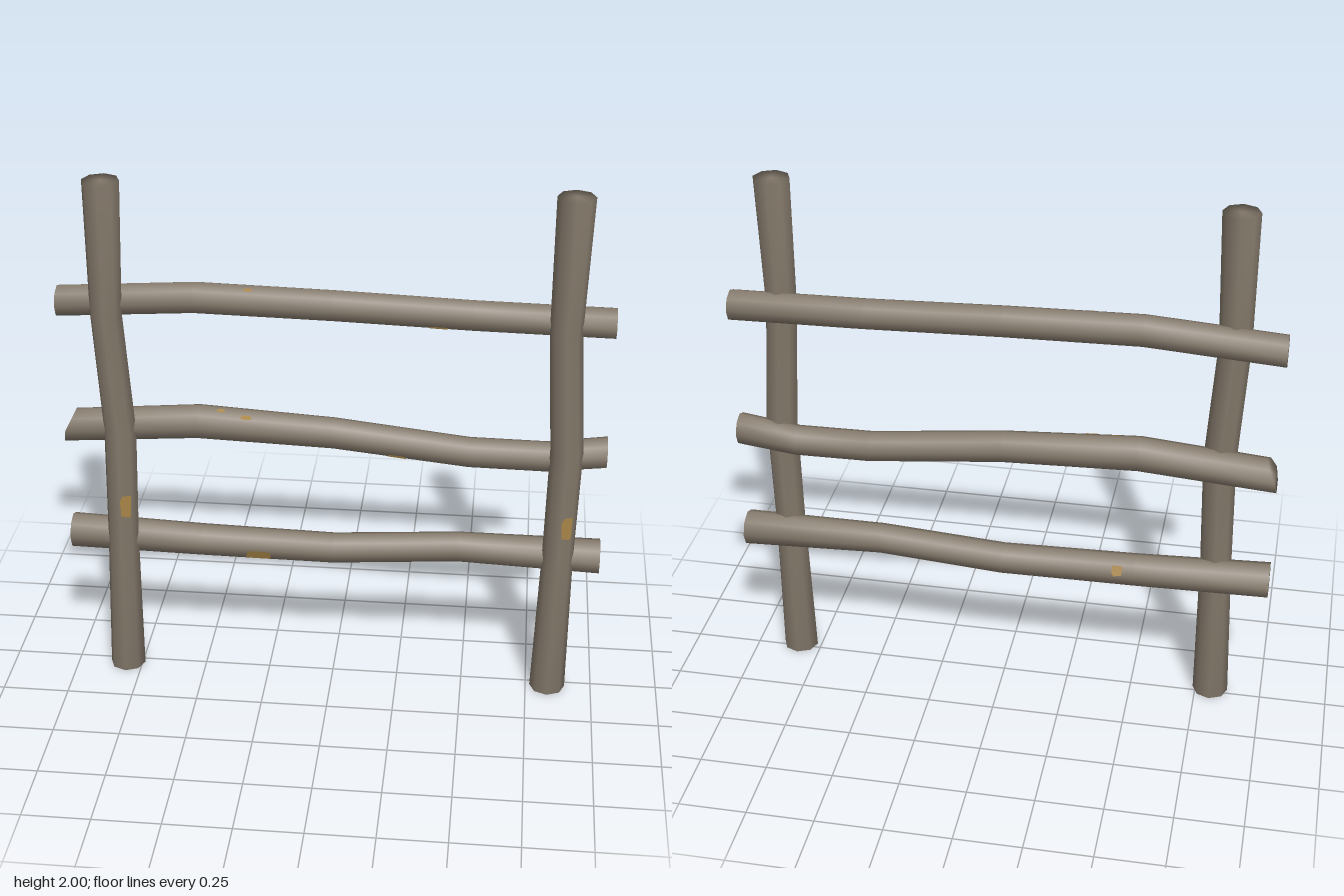
import * as THREE from 'three';

const SIDES = 8;
const bark = new THREE.MeshStandardMaterial({ color: 0x83786a });
bark.name = 'bark';
const bareWood = new THREE.MeshStandardMaterial({ color: 0xa88548 });
bareWood.name = 'bareWood';

// A log runs along y (post) or x (rail). Stations: [along, offset, radius].
function ringPoint(log, [along, offset, r], side, lift = 0) {
  const a = (side / SIDES) * Math.PI * 2;
  const c = Math.cos(a) * (r + lift), s = Math.sin(a) * (r + lift);
  if (log.post) return new THREE.Vector3(offset + c, along, log.z + s);
  const p = new THREE.Vector3(along, offset + s, log.z + c);
  // chopped upper corner at the start of a rail
  if (log.chopped && along === log.stations[0][0]) p.x += Math.max(0, p.y - 1.0) * 0.5;
  return p;
}

function buildGeometry(points, index) {
  const g = new THREE.BufferGeometry().setFromPoints(points);
  g.setIndex(index);
  g.computeVertexNormals();
  return g;
}

// Bent log: rings shared with the end caps, so the ends shade softly
function makeLog(log) {
  const points = [], index = [], n = log.stations.length;
  for (const st of log.stations)
    for (let k = 0; k < SIDES; k++) points.push(ringPoint(log, st, k));
  const first = points.length, last = first + 1;
  for (const st of [log.stations[0], log.stations[n - 1]]) {
    const a = ringPoint(log, st, 0), b = ringPoint(log, st, SIDES / 2);
    points.push(a.add(b).multiplyScalar(0.5));
  }
  for (let k = 0; k < SIDES; k++) {
    const j = (k + 1) % SIDES, top = (n - 1) * SIDES;
    for (let i = 0; i < n - 1; i++) {
      const a = i * SIDES + k, b = i * SIDES + j;
      index.push(a, a + SIDES, b, b, a + SIDES, b + SIDES);
    }
    index.push(first, k, j, last, top + j, top + k);
  }
  const mesh = new THREE.Mesh(buildGeometry(points, index), bark);
  mesh.name = log.name;
  return mesh;
}

// Ragged patch of bare wood lying on one facet: [facet, t0, t1, f0, f1]
function makePatch(log, [facet, t0, t1, f0, f1]) {
  const outline = [[0, 0.1], [0.3, 0], [1, 0], [1, 0.75], [0.8, 1], [0.1, 0.9]];
  const points = outline.map(([u, v]) => {
    const t = t0 + (t1 - t0) * u, f = f0 + (f1 - f0) * v;
    const i = log.stations.findIndex((st, k) => k > 0 && st[0] >= t);
    const a = log.stations[i - 1], b = log.stations[i];
    const w = (t - a[0]) / (b[0] - a[0]);
    const st = a.map((value, k) => value + (b[k] - value) * w);
    return ringPoint(log, st, facet, 0.002).lerp(ringPoint(log, st, facet + 1, 0.002), f);
  });
  const index = [];
  for (let i = 1; i < points.length - 1; i++) index.push(0, i, i + 1);
  const mesh = new THREE.Mesh(buildGeometry(points, index), bareWood);
  mesh.name = log.name + 'BarePatch';
  return mesh;
}

export function createModel() {
  const model = new THREE.Group();
  model.name = 'woodenFence';

  const logs = [];
  // two matching crooked posts
  for (const [name, x] of [['rightPost', -0.807], ['leftPost', 0.833]]) {
    logs.push({
      name, post: true, z: 0.024,
      stations: [[0, 0, 0.067], [0.58, 0.01, 0.058], [1.03, 0.02, 0.06], [1.5, -0.008, 0.058], [2, 0, 0.067]]
        .map(([y, dx, r]) => [y, x + dx, r]),
      patches: [[1, 0.68, 0.775, 0.05, 0.95]],
    });
  }
  // three rails behind the posts
  logs.push({
    name: 'topRail', z: -0.026,
    stations: [[-1, 1.517, 0.06], [-0.5, 1.55, 0.06], [0, 1.54, 0.059], [0.5, 1.524, 0.058], [1, 1.516, 0.058]],
    patches: [[7, 0.34, 0.41, 0, 0.2], [1, -0.32, -0.29, 0.3, 0.6]],
  }, {
    name: 'middleRail', z: -0.026, chopped: true,
    stations: [[-1, 1.015, 0.065], [-0.5, 1.053, 0.066], [0, 1.03, 0.06], [0.5, 0.977, 0.058], [0.78, 0.974, 0.058], [1, 1.003, 0.06]],
    patches: [[1, -0.34, -0.3, 0, 0.4], [1, -0.43, -0.4, 0.5, 0.8], [7, 0.2, 0.27, 0, 0.25], [5, -0.15, -0.1, 0.2, 0.8]],
  }, {
    name: 'bottomRail', z: -0.024,
    stations: [[-1, 0.563, 0.067], [-0.5, 0.548, 0.062], [0, 0.54, 0.059], [0.47, 0.573, 0.058], [1, 0.563, 0.067]],
    patches: [[7, -0.33, -0.235, 0.05, 0.95], [3, -0.46, -0.42, 0.1, 0.95]],
  });

  for (const log of logs) {
    model.add(makeLog(log));
    for (const patch of log.patches) model.add(makePatch(log, patch));
  }
  return model;
}
